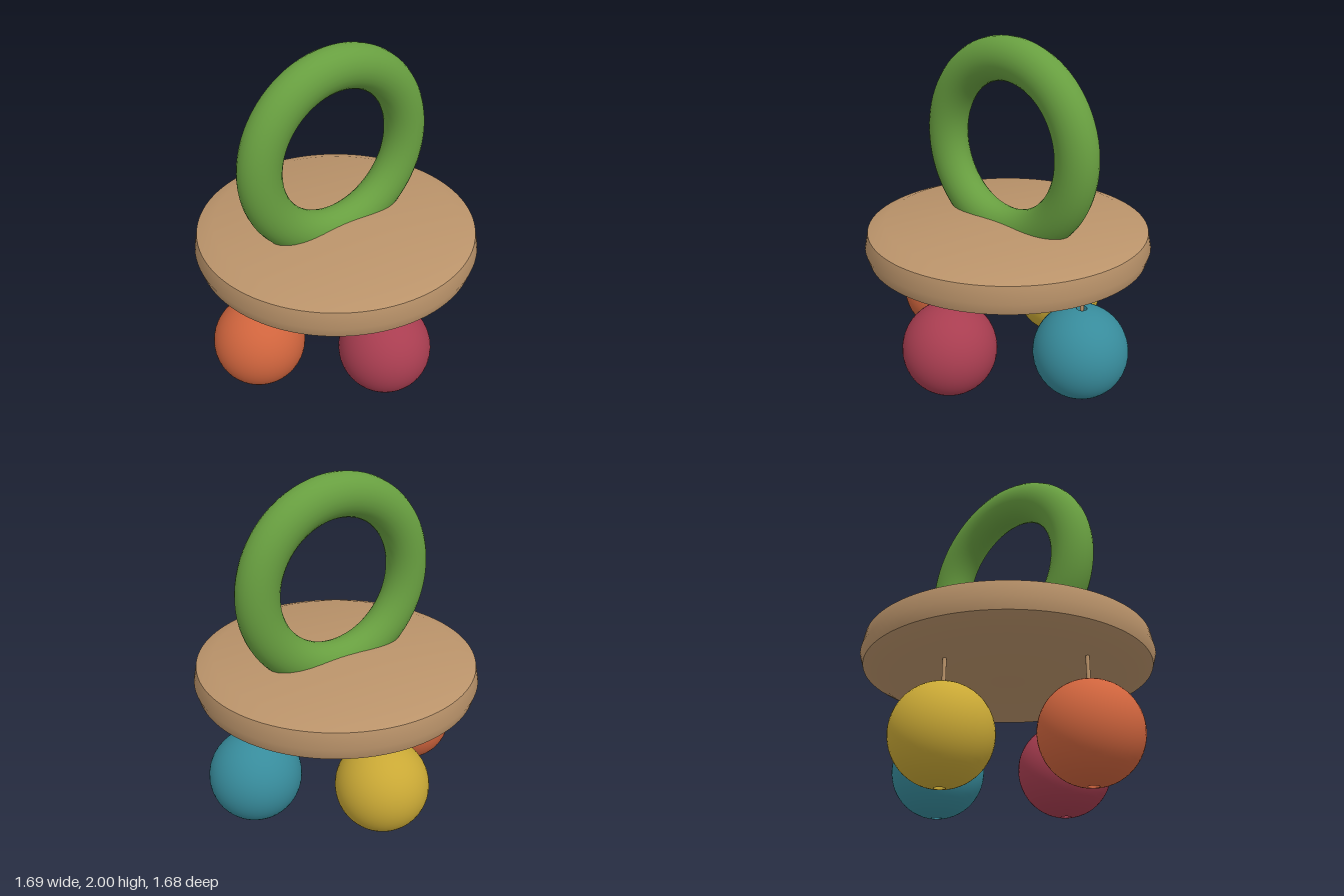
import * as THREE from 'three';
import { toCreasedNormals } from 'three/addons/utils/BufferGeometryUtils.js';

function material(name, color) {
  const m = new THREE.MeshStandardMaterial({ color });
  m.name = name;
  return m;
}

// Turned part: profile of [radius, height] pairs, bottom to top
function turned(profile, segments) {
  const points = profile.map(([r, y]) => new THREE.Vector2(r, y));
  return toCreasedNormals(new THREE.LatheGeometry(points, segments), 0.6);
}

// Sphere drilled through along y
function beadGeometry(radius, bore) {
  const profile = [];
  const limit = Math.acos(bore / radius);
  const steps = 28;
  for (let i = 0; i <= steps; i++) {
    const a = -limit + (2 * limit * i) / steps;
    profile.push([radius * Math.cos(a), radius * Math.sin(a)]);
  }
  profile.push(profile[0].slice()); // inner wall of the bore
  return turned(profile, 48);
}

export function createModel() {
  const model = new THREE.Group();
  model.name = 'hangingBeadToy';

  const green = material('green', 0x689f40);
  const wood = material('wood', 0xba936a);
  const orange = material('orange', 0xcf643d);
  const crimson = material('crimson', 0xa83d50);
  const teal = material('teal', 0x378b9b);
  const yellow = material('yellow', 0xc9a835);

  const add = (name, geometry, mat, x, y, z) => {
    const mesh = new THREE.Mesh(geometry, mat);
    mesh.name = name;
    mesh.position.set(x, y, z);
    model.add(mesh);
    return mesh;
  };

  // Grip ring, sunk into the disc and slightly flattened
  const ring = add('gripRing', new THREE.TorusGeometry(0.5, 0.125, 24, 80), green, 0, 1.375, 0);
  ring.scale.z = 0.92;

  // Round disc with bevelled rims
  const discProfile = [
    [0, 0.69], [0.725, 0.69], [0.823, 0.745], [0.842, 0.81],
    [0.823, 0.903], [0.725, 0.94], [0, 0.94],
  ];
  add('disc', turned(discProfile, 96), wood, 0, 0, 0);

  // Four beads, each on a cord under the disc
  const bead = beadGeometry(0.274, 0.03);
  const cord = new THREE.CylinderGeometry(0.011, 0.011, 0.45, 12);
  const beads = [
    ['left', teal, 0.57, 0],
    ['right', orange, -0.57, 0],
    ['front', crimson, 0, 0.49],
    ['back', yellow, 0, -0.49],
  ];
  for (const [side, mat, x, z] of beads) {
    add(side + 'Bead', bead, mat, x, 0.273, z);
    add(side + 'Cord', cord, wood, x, 0.5, z);
  }

  return model;
}
